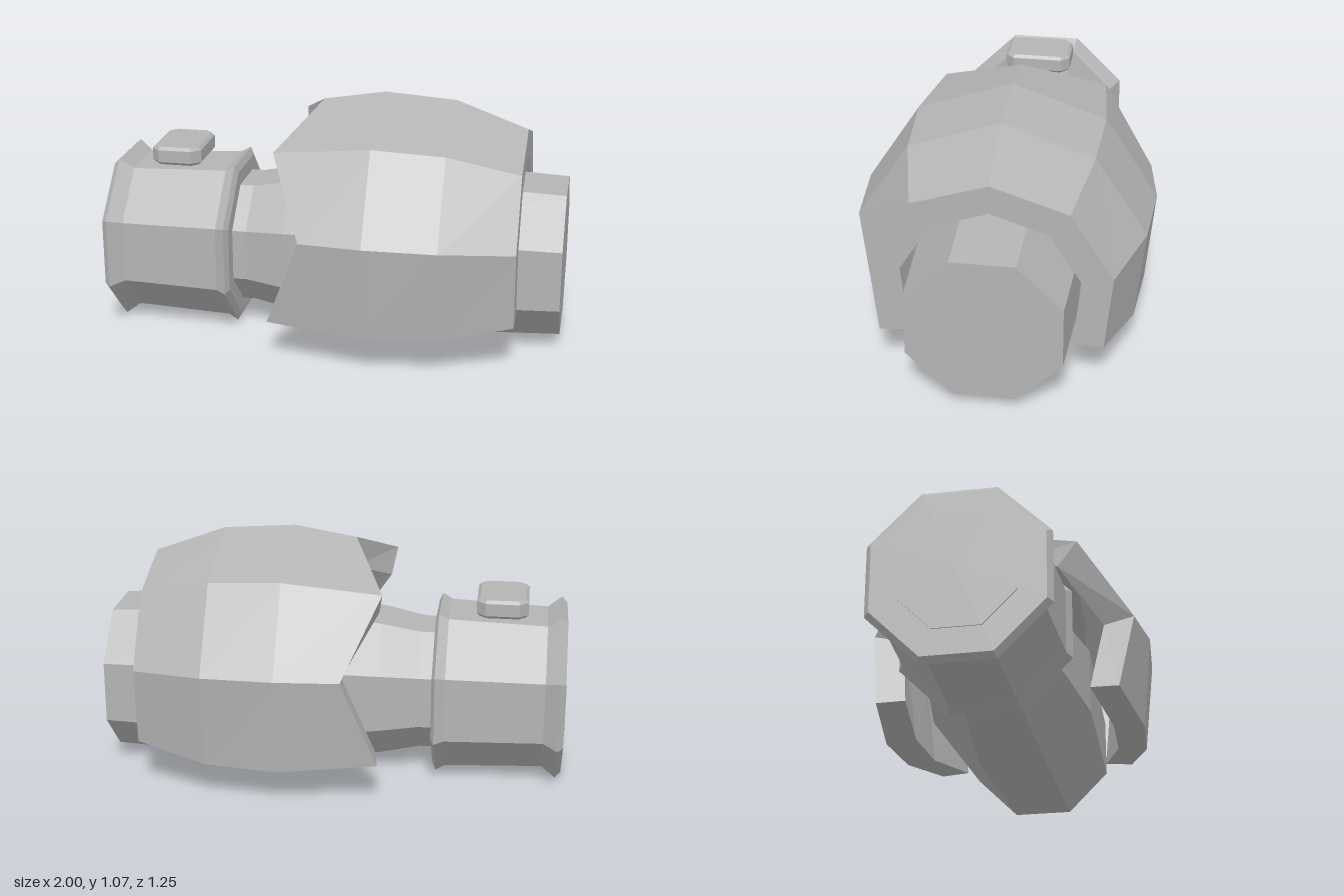
import * as THREE from 'three';

const AXIS_Y = 0.37;

// Octagonal body along x from [x, apothem] pairs
function octagonBody(profile) {
  const pts = profile.map(([x, a]) => new THREE.Vector2(a / Math.cos(Math.PI / 8), x));
  pts.unshift(new THREE.Vector2(0, profile[0][0]));
  pts.push(new THREE.Vector2(0, profile[profile.length - 1][0]));
  const geo = new THREE.LatheGeometry(pts, 8, Math.PI / 8).toNonIndexed();
  geo.rotateZ(-Math.PI / 2);
  geo.translate(0, AXIS_Y, 0);
  geo.computeVertexNormals();
  return geo;
}

// Half sections of the shell: [x, y, z] from lower edge up to the top ridge
const SHELL = [
  {
    outer: [[-0.22, 0.18, 0.525], [-0.07, 0.567, 0.585], [-0.22, 0.88, 0.36], [-0.07, 1.025, 0]],
    inner: [[-0.2, 0.19, 0.4], [-0.06, 0.54, 0.45], [-0.2, 0.775, 0.27], [-0.06, 0.89, 0]],
  },
  {
    outer: [[0.2, 0.155, 0.588], [0.2, 0.575, 0.627], [0.2, 0.93, 0.4], [0.2, 1.07, 0]],
    inner: [[0.2, 0.168, 0.45], [0.2, 0.55, 0.5], [0.2, 0.82, 0.31], [0.2, 0.93, 0]],
  },
  {
    outer: [[0.51, 0.165, 0.565], [0.51, 0.57, 0.607], [0.51, 0.912, 0.385], [0.51, 1.048, 0]],
    inner: [[0.51, 0.178, 0.435], [0.51, 0.545, 0.475], [0.51, 0.81, 0.3], [0.51, 0.91, 0]],
  },
  {
    outer: [[0.82, 0.21, 0.465], [0.82, 0.545, 0.498], [0.82, 0.83, 0.32], [0.82, 0.935, 0]],
    inner: [[0.82, 0.22, 0.34], [0.82, 0.52, 0.368], [0.82, 0.728, 0.242], [0.82, 0.81, 0]],
  },
];

function shellGeometry() {
  const arch = (half) => [...half, ...half.slice(0, 3).reverse().map(([x, y, z]) => [x, y, -z])];
  // Closed loop: over the outside, then back along the inside
  const loops = SHELL.map((s) => [...arch(s.outer), ...arch(s.inner).reverse()]);
  const n = loops[0].length;
  const pos = [];
  const quad = (a, b, c, d) => pos.push(...a, ...b, ...c, ...a, ...c, ...d);
  for (let s = 0; s < loops.length - 1; s++) {
    for (let j = 0; j < n; j++) {
      const k = (j + 1) % n;
      quad(loops[s][j], loops[s + 1][j], loops[s + 1][k], loops[s][k]);
    }
  }
  // End rims
  const back = loops[0];
  const front = loops[loops.length - 1];
  for (let j = 0; j < n / 2 - 1; j++) {
    const i = n - 1 - j;
    quad(back[j], back[j + 1], back[i - 1], back[i]);
    quad(front[i], front[i - 1], front[j + 1], front[j]);
  }
  const geo = new THREE.BufferGeometry();
  geo.setAttribute('position', new THREE.Float32BufferAttribute(pos, 3));
  geo.computeVertexNormals();
  return geo;
}

// Bevelled block with clipped corners
function buttonGeometry() {
  const w = 0.098, d = 0.138, c = 0.03, bevel = 0.013;
  const shape = new THREE.Shape([
    [-w + c, -d], [w - c, -d], [w, -d + c], [w, d - c],
    [w - c, d], [-w + c, d], [-w, d - c], [-w, -d + c],
  ].map(([x, y]) => new THREE.Vector2(x, y)));
  const geo = new THREE.ExtrudeGeometry(shape, {
    depth: 0.055, bevelEnabled: true, bevelSize: bevel, bevelThickness: bevel, bevelSegments: 1,
  });
  geo.rotateX(-Math.PI / 2);
  geo.translate(-0.715, 0.737, 0);
  return geo;
}

export function createModel() {
  const group = new THREE.Group();
  const grey = new THREE.MeshStandardMaterial({ color: 0xb4b4b4 });
  grey.name = 'grey';
  grey.flatShading = true;

  const add = (name, geo) => {
    const mesh = new THREE.Mesh(geo, grey);
    mesh.name = name;
    group.add(mesh);
  };

  // Flanged cuff with a rim at both ends
  add('cuff', octagonBody([
    [-0.995, 0.347], [-0.97, 0.37], [-0.91, 0.327], [-0.487, 0.343], [-0.445, 0.365], [-0.43, 0.335],
  ]));
  add('cuffEndPlate', octagonBody([[-1, 0.237], [-0.99, 0.237]]));

  // Tapered core running through the shell
  add('core', octagonBody([
    [-0.46, 0.27], [-0.37, 0.27], [-0.2, 0.303], [0.15, 0.357], [1, 0.32],
  ]));

  add('outerShell', shellGeometry());
  add('topButton', buttonGeometry());
  return group;
}
